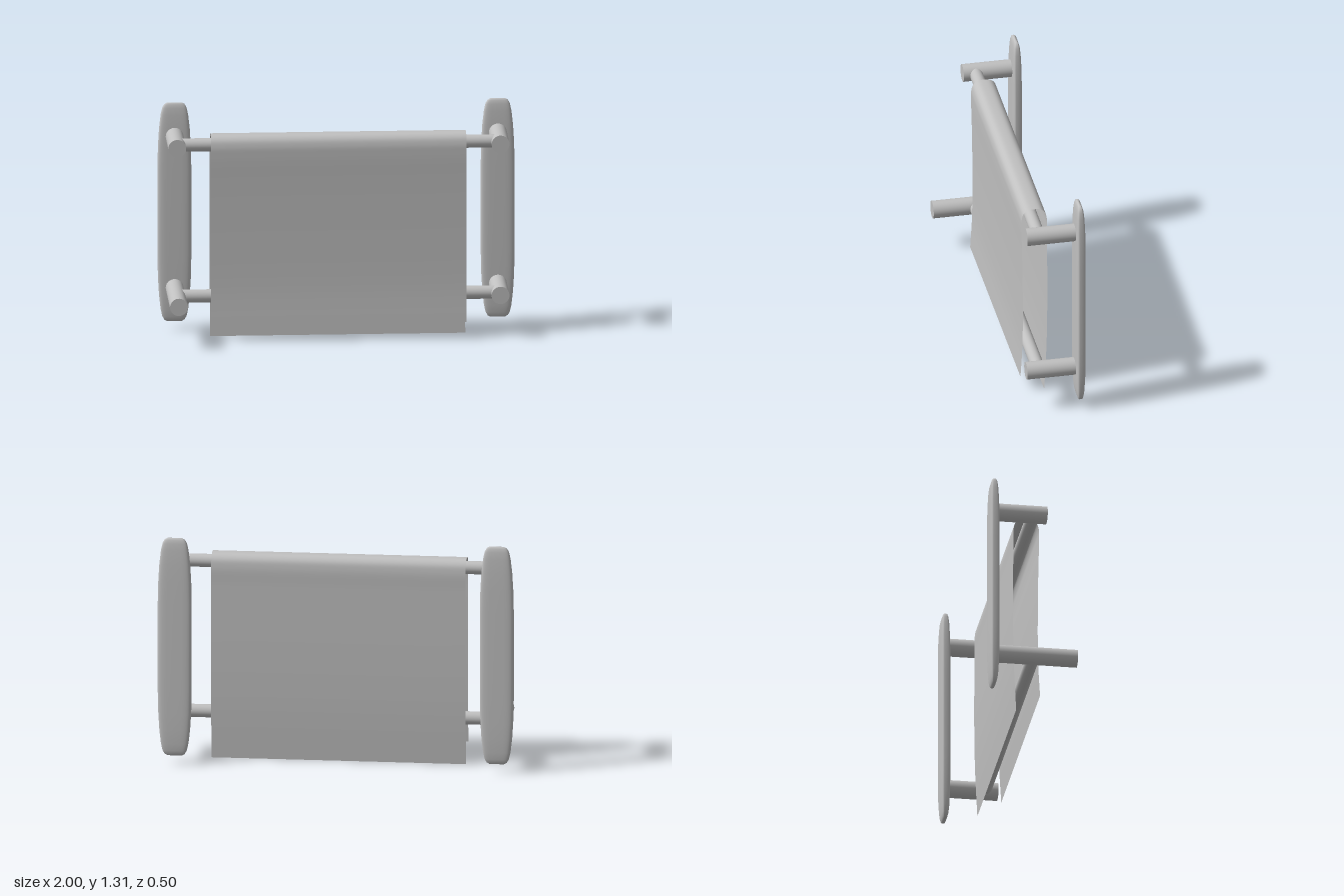
import * as THREE from 'three';

const grey = new THREE.MeshStandardMaterial({ color: 0xc0c0c0 });
grey.name = 'grey';
const clothGrey = new THREE.MeshStandardMaterial({ color: 0xc0c0c0, side: THREE.DoubleSide });
clothGrey.name = 'cloth grey';

const PLATE_X = 0.905;
const RAIL_YS = [0.248, 1.12];

// Pillow-edged strip lofted from rounded rectangles: [height, half width, half depth]
function plateGeometry() {
  const half = [
    [0, 0.095, 0.027], [0.25, 0.095, 0.027], [0.38, 0.092, 0.0265], [0.48, 0.086, 0.0255],
    [0.56, 0.077, 0.022], [0.6, 0.068, 0.018], [0.62, 0.057, 0.013], [0.629, 0.042, 0.007], [0.63, 0, 0],
  ];
  const rows = [...half.slice(1).reverse().map(([y, w, d]) => [-y, w, d]), ...half];
  const n = 40;
  const pos = [];
  const index = [];
  const power = (v) => Math.sign(v) * Math.pow(Math.abs(v), 0.45);
  rows.forEach(([y, w, d], i) => {
    for (let j = 0; j < n; j++) {
      const t = (j / n) * Math.PI * 2;
      // the depth follows the rounded corners only near the long edges
      pos.push(w * power(Math.cos(t)), y, d * power(Math.sin(t)));
      if (i === rows.length - 1) continue;
      const a = i * n + j, b = i * n + ((j + 1) % n);
      index.push(a, a + n, b, b, a + n, b + n);
    }
  });
  const geo = new THREE.BufferGeometry();
  geo.setAttribute('position', new THREE.Float32BufferAttribute(pos, 3));
  geo.setIndex(index);
  geo.computeVertexNormals();
  return geo;
}

// Cloth sheet: front hem, up over the rail, down to the back hem
function towelGeometry() {
  const path = new THREE.CatmullRomCurve3([
    [0.095, 0.071], [0.3, 0.06], [0.6, 0.058], [0.9, 0.062], [1.07, 0.066], [1.12, 0.064],
    [1.155, 0.053], [1.175, 0.03], [1.18, -0.006], [1.174, -0.045], [1.152, -0.069],
    [1.11, -0.079], [1.0, -0.08], [0.6, -0.082], [0.35, -0.079], [0.2, -0.074], [0, -0.064],
  ].map(([y, z]) => new THREE.Vector3(0, y, z)));
  const geo = new THREE.PlaneGeometry(1.43, 1, 8, 120);
  const pos = geo.attributes.position;
  for (let i = 0; i < pos.count; i++) {
    const p = path.getPoint(THREE.MathUtils.clamp(pos.getY(i) + 0.5, 0, 1));
    pos.setXYZ(i, pos.getX(i), p.y, p.z);
  }
  geo.computeVertexNormals();
  return geo;
}

export function createModel() {
  const model = new THREE.Group();
  model.name = 'towelRack';
  const add = (geo, name, x, y, z, material = grey) => {
    const mesh = new THREE.Mesh(geo, material);
    mesh.name = name;
    mesh.position.set(x, y, z);
    model.add(mesh);
    return mesh;
  };

  const plate = plateGeometry();
  for (const side of [-1, 1]) {
    // Wall plates
    add(plate, side > 0 ? 'leftWallPlate' : 'rightWallPlate', side * PLATE_X, 0.68, -0.223);

    // Posts reaching forward; the lower right one is longer
    RAIL_YS.forEach((y, i) => {
      const back = -0.215;
      const front = side < 0 && i === 0 ? 0.25 : 0.078;
      const post = new THREE.CylinderGeometry(0.05, 0.05, front - back, 40);
      const name = (i ? 'upper' : 'lower') + (side > 0 ? 'LeftPost' : 'RightPost');
      add(post, name, side * PLATE_X, y, (front + back) / 2).rotation.x = Math.PI / 2;
    });
  }

  // Rails between the posts
  const rail = new THREE.CylinderGeometry(0.037, 0.037, PLATE_X * 2, 32);
  RAIL_YS.forEach((y, i) => {
    add(rail, i ? 'upperRail' : 'lowerRail', 0, y + 0.002, 0.005).rotation.z = Math.PI / 2;
  });

  // Towel draped over both rails
  add(towelGeometry(), 'towel', 0, 0, 0, clothGrey);
  return model;
}
